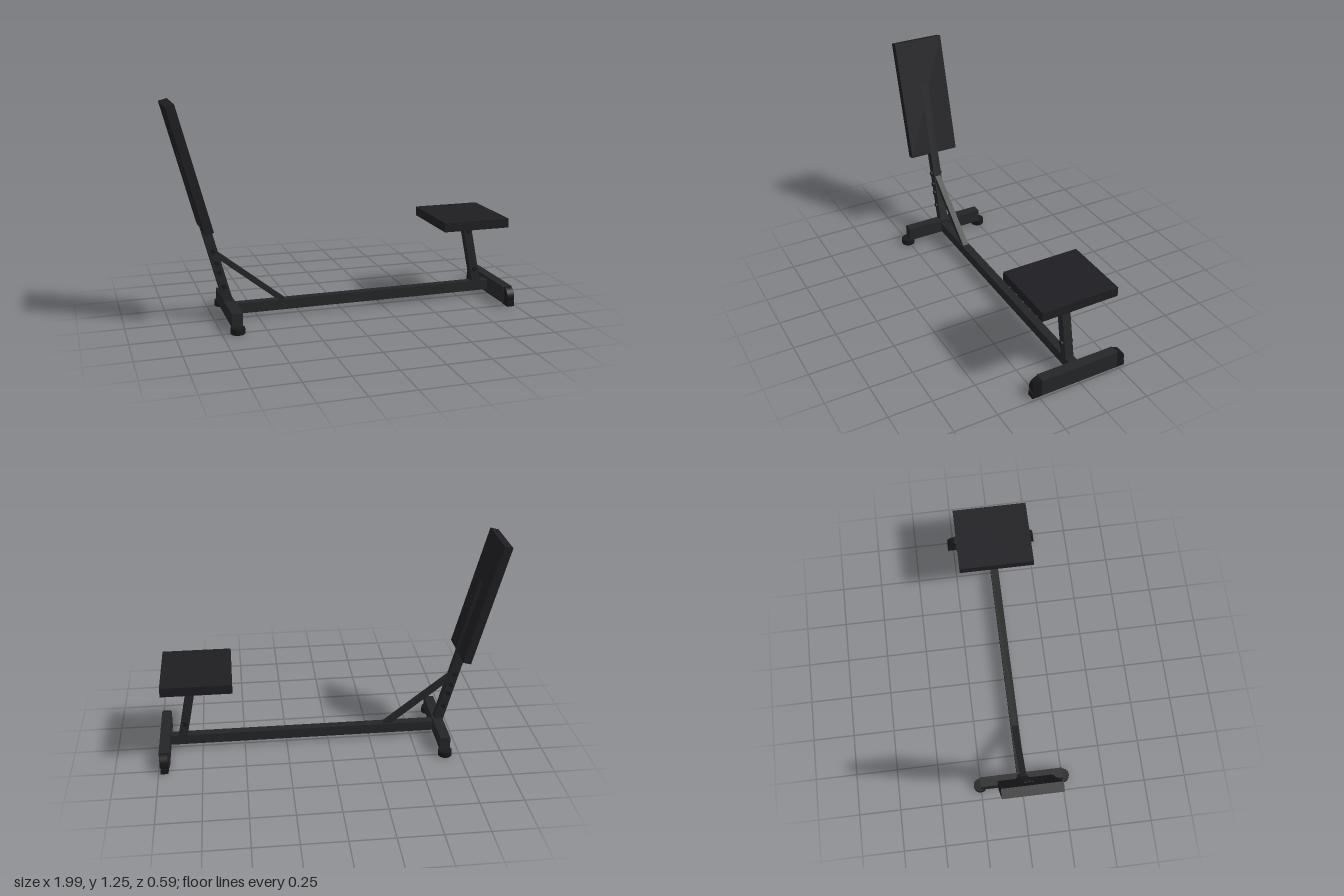
import * as THREE from 'three';

export function createModel() {
  const group = new THREE.Group();
  const frame = new THREE.MeshStandardMaterial({ color: 0x242526 });
  const padding = new THREE.MeshStandardMaterial({ color: 0x1e1e22 });
  const rubber = new THREE.MeshStandardMaterial({ color: 0x18181a });

  function add(name, geometry, material, x, y, z = 0) {
    const mesh = new THREE.Mesh(geometry, material);
    mesh.name = name;
    mesh.position.set(x, y, z);
    group.add(mesh);
    return mesh;
  }
  const box = (name, w, h, d, material, x, y, z) =>
    add(name, new THREE.BoxGeometry(w, h, d), material, x, y, z);

  // Square tube running between two points of the x-y plane
  function bar(name, [x1, y1], [x2, y2], thickness, depth, material) {
    const length = Math.hypot(x2 - x1, y2 - y1);
    const mesh = box(name, thickness, length, depth, material, (x1 + x2) / 2, (y1 + y2) / 2);
    mesh.rotation.z = Math.atan2(x1 - x2, y2 - y1);
    return mesh;
  }

  // Bolt pair on both sides of a tube
  function bolts(name, x, y) {
    for (const side of [-1, 1]) {
      const bolt = add(name, new THREE.CylinderGeometry(0.013, 0.013, 0.012, 12), rubber, x, y, side * 0.03);
      bolt.rotation.x = Math.PI / 2;
    }
  }

  // Base: long beam and two crossbars
  box('mainBeam', 1.6, 0.06, 0.05, frame, 0.14, 0.062);
  box('backCrossbar', 0.06, 0.08, 0.5, frame, -0.664, 0.07);
  box('seatCrossbar', 0.058, 0.1, 0.47, frame, 0.966, 0.06);

  for (const side of [-1, 1]) {
    // Round feet under the back crossbar
    add('roundFoot', new THREE.CylinderGeometry(0.04, 0.04, 0.034, 24), rubber, -0.664, 0.017, side * 0.253);
    // Rounded end caps of the seat crossbar
    const cap = add('endCap', new THREE.CylinderGeometry(0.051, 0.051, 0.044, 32), rubber, 0.966, 0.058, side * 0.235);
    cap.rotation.z = Math.PI / 2;
    // Small pads under the end caps
    box('capFoot', 0.044, 0.03, 0.07, rubber, 0.966, 0.017, side * 0.253);
  }

  // Leaning backrest: post, pad and brace share one slope
  const backX = y => -0.975 + (1.245 - y) * 0.268;
  const onBack = y => [backX(y), y];
  bar('backPost', onBack(0.06), onBack(0.975), 0.053, 0.05, frame);
  bar('backPad', onBack(0.543), onBack(1.246), 0.05, 0.306, padding);
  bar('backBrace', [-0.745, 0.4], [-0.33, 0.07], 0.03, 0.036, frame);
  for (const y of [0.2, 0.285, 0.34, 0.41]) bolts('backPostBolt', backX(y), y);

  // Seat on its leaning post
  bar('seatPost', [0.865, 0.07], [0.784, 0.48], 0.05, 0.05, frame);
  box('seat', 0.402, 0.054, 0.456, padding, 0.76, 0.497);
  for (const y of [0.17, 0.41]) bolts('seatPostBolt', 0.865 - (y - 0.07) * 0.198, y);

  return group;
}
